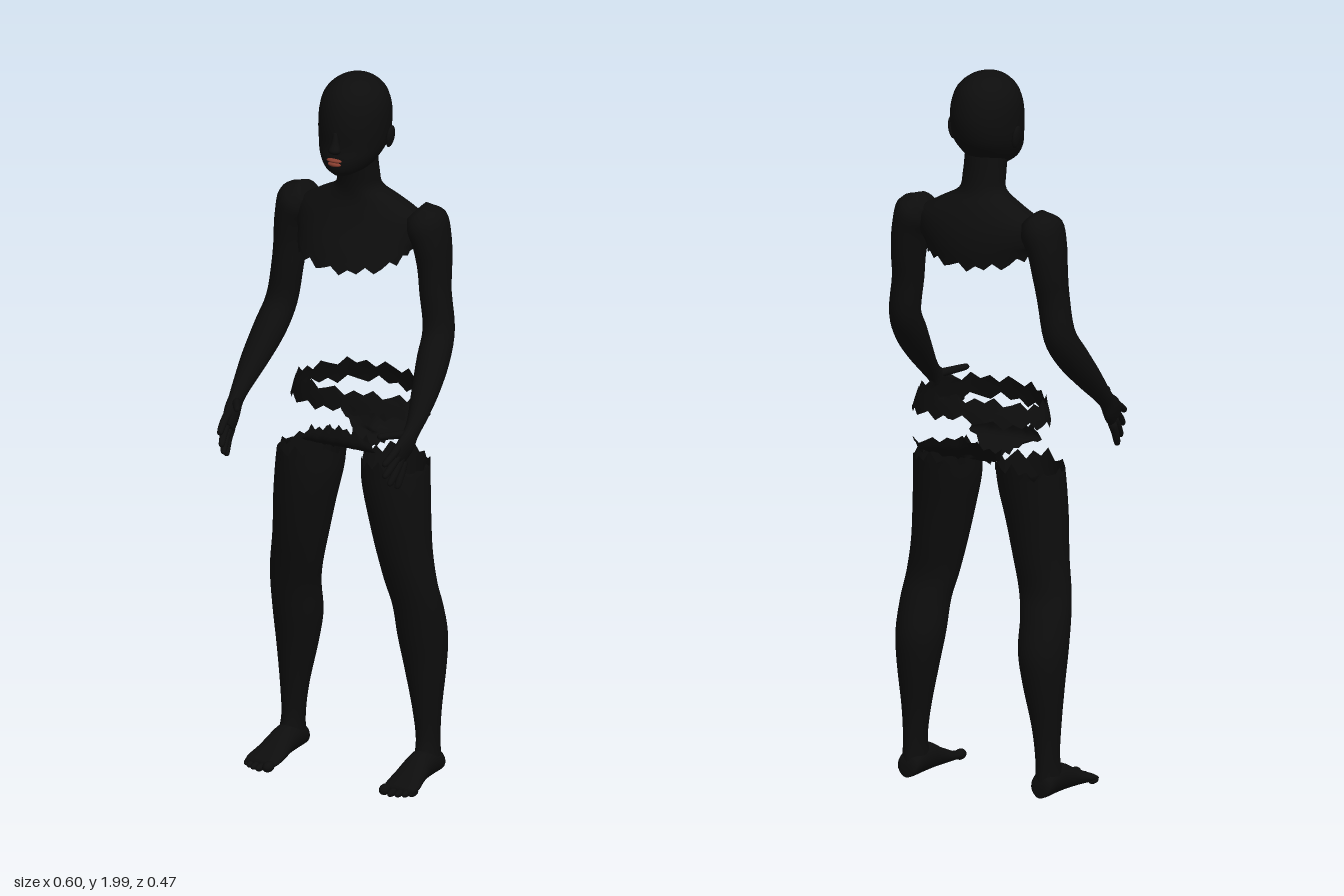
import * as THREE from 'three';

const V = (x, y, z) => new THREE.Vector3(x, y, z);
const skin = new THREE.MeshStandardMaterial({ name: 'dark skin', color: 0x0d0d0d, side: THREE.DoubleSide });
const lipRed = new THREE.MeshStandardMaterial({ name: 'lip red', color: 0x8a3f30, side: THREE.DoubleSide });

function part(name, geometry, material = skin) {
  const mesh = new THREE.Mesh(geometry, material);
  mesh.name = name;
  return mesh;
}

// Smooth skin through elliptical sections [centre, u, v], where u x v points along the loft
function loft(sections, { n = 24, sub = 4, capStart = false, capEnd = false, shape = null } = {}) {
  const [centre, us, vs] = [0, 1, 2].map(k =>
    new THREE.CatmullRomCurve3(sections.map(s => s[k]), false, 'catmullrom', 0.5));
  const rows = (sections.length - 1) * sub, pos = [], index = [];
  for (let i = 0; i <= rows; i++) {
    const t = i / rows, c = centre.getPoint(t), u = us.getPoint(t), v = vs.getPoint(t);
    for (let j = 0; j < n; j++) {
      const a = j / n * Math.PI * 2;
      const p = c.clone().addScaledVector(u, Math.cos(a)).addScaledVector(v, Math.sin(a));
      if (shape) shape(p, i, rows, j, a);
      pos.push(p.x, p.y, p.z);
      if (i < rows) {
        const q = i * n + j, r = i * n + (j + 1) % n;
        index.push(q, r, q + n, r, r + n, q + n);
      }
    }
  }
  const cap = (row, c, flip) => {
    const k = pos.length / 3;
    pos.push(c.x, c.y, c.z);
    for (let j = 0; j < n; j++) {
      const a = row * n + j, b = row * n + (j + 1) % n;
      index.push(k, flip ? b : a, flip ? a : b);
    }
  };
  if (capStart) cap(0, sections[0][0], true);
  if (capEnd) cap(rows, sections.at(-1)[0], false);
  const g = new THREE.BufferGeometry();
  g.setAttribute('position', new THREE.Float32BufferAttribute(pos, 3));
  g.setIndex(index);
  g.computeVertexNormals();
  return g;
}

// Level section from [y, x0, x1, zBack, zFront], listed from top to bottom
const level = ([y, x0, x1, zb, zf]) =>
  [V((x0 + x1) / 2, y, (zb + zf) / 2), V((x1 - x0) / 2, 0, 0), V(0, 0, (zf - zb) / 2)];

// Limb through [x, y, z, radius across x, radius in the bending plane]
function limb(points, options) {
  const p = points.map(q => V(q[0], q[1], q[2]));
  return loft(points.map((q, i) => {
    const d = p[Math.min(i + 1, p.length - 1)].clone().sub(p[Math.max(i - 1, 0)]).normalize();
    const u = V(1, 0, 0).addScaledVector(d, -d.x).normalize();
    return [p[i], u.clone().multiplyScalar(q[3]), d.clone().cross(u).multiplyScalar(q[4] ?? q[3])];
  }), { n: 16, capStart: true, capEnd: true, ...options });
}

function ball(name, x, y, z, rx, ry, rz, material) {
  const mesh = part(name, new THREE.SphereGeometry(1, 16, 12), material);
  mesh.position.set(x, y, z);
  mesh.scale.set(rx, ry, rz);
  return mesh;
}

// Uneven torn edge, repeated by column
const tear = j => [0.012, -0.006, 0.004, -0.014, 0.008, -0.002, -0.01][j % 7];

function makeHead() {
  const g = new THREE.Group();
  g.name = 'head';
  g.add(part('skull', loft([
    [2.0, 0.008, -0.08, -0.06], [1.988, 0.045, -0.125, -0.018], [1.96, 0.077, -0.16, 0.015],
    [1.92, 0.093, -0.178, 0.034], [1.87, 0.096, -0.184, 0.043], [1.82, 0.092, -0.172, 0.043],
    [1.785, 0.08, -0.145, 0.05], [1.755, 0.058, -0.115, 0.047], [1.737, 0.03, -0.08, 0.03],
  ].map(([y, r, b, f]) => level([y, -r, r, b, f])), { n: 32, capStart: true, capEnd: true })));
  // Nose widens from bridge to tip
  g.add(part('nose', loft([
    [1.865, 0.007, 0.03, 0.044], [1.835, 0.011, 0.03, 0.055], [1.815, 0.018, 0.03, 0.065], [1.805, 0.012, 0.03, 0.053],
  ].map(([y, r, b, f]) => level([y, -r, r, b, f])), { n: 12, capStart: true, capEnd: true })));
  g.add(ball('upperLip', 0, 1.787, 0.048, 0.023, 0.006, 0.01, lipRed));
  g.add(ball('lowerLip', 0, 1.776, 0.047, 0.02, 0.007, 0.01, lipRed));
  for (const s of [-1, 1]) {
    const ear = ball('ear', s * 0.1, 1.832, -0.085, 0.009, 0.032, 0.019);
    ear.rotation.z = -s * 0.15;
    g.add(ear);
  }
  return g;
}

// Neck flowing into an open chest with a ragged hem
function makeChest() {
  return part('neckAndChest', loft([
    [1.78, 0.058, -0.135, -0.01], [1.72, 0.06, -0.14, -0.03], [1.675, 0.068, -0.15, -0.038],
    [1.642, 0.125, -0.172, -0.036], [1.605, 0.185, -0.19, -0.022], [1.565, 0.19, -0.202, -0.002],
    [1.52, 0.178, -0.206, 0.024], [1.472, 0.17, -0.203, 0.047],
  ].map(([y, r, b, f]) => level([y, -r, r, b, f])), {
    n: 42,
    shape(p, i, rows, j, a) {
      // Underarms are cut higher than the front and back
      const w = Math.max(0, (i - rows + 6) / 6);
      p.y += w * (0.045 * Math.cos(a) ** 4 + (Math.sin(a) < 0 ? 0.012 : 0));
      if (i === rows) p.y += tear(j);
    },
  }));
}

function makeArm() {
  const g = new THREE.Group();
  g.name = 'arm';
  g.add(part('armSkin', limb([
    [0.165, 1.618, -0.11, 0.035, 0.045], [0.195, 1.592, -0.112, 0.058, 0.068], [0.213, 1.54, -0.113, 0.05, 0.066],
    [0.222, 1.47, -0.112, 0.045, 0.057], [0.228, 1.4, -0.105, 0.043, 0.049], [0.242, 1.3, -0.098, 0.043, 0.047],
    [0.252, 1.23, -0.05, 0.045, 0.045], [0.263, 1.16, 0.015, 0.038, 0.036], [0.27, 1.1, 0.075, 0.026, 0.026],
    [0.27, 1.07, 0.108, 0.02, 0.026], [0.268, 1.045, 0.132, 0.018, 0.036], [0.262, 1.02, 0.16, 0.014, 0.036],
    [0.26, 1.01, 0.17, 0.01, 0.026],
  ])));
  // Fingers fan out from the knuckles: [start, end]
  const fingers = [
    [[0.263, 1.048, 0.165], [0.252, 1.012, 0.232]], [[0.264, 1.03, 0.16], [0.25, 0.975, 0.226]],
    [[0.264, 1.012, 0.152], [0.255, 0.947, 0.206]], [[0.266, 0.998, 0.142], [0.262, 0.93, 0.176]],
    [[0.262, 1.07, 0.122], [0.217, 1.078, 0.198]],
  ];
  fingers.forEach(([a, b], k) => {
    const at = t => a.map((v, i) => v + (b[i] - v) * t + (i === 0 && k < 4 ? 0.012 * t * (1 - t) : 0));
    g.add(part(k === 4 ? 'thumb' : 'finger', limb(
      [[0, 0.012], [0.4, 0.0105], [0.8, 0.0095], [0.96, 0.007], [1, 0.003]].map(([t, r]) => [...at(t), r]),
      { n: 10, sub: 2 })));
  });
  return g;
}

function makeLeg() {
  const g = new THREE.Group();
  g.name = 'leg';
  g.add(part('legSkin', loft([
    [0.92, 0.035, 0.222, -0.16, 0.035], [0.85, 0.04, 0.227, -0.15, 0.038], [0.76, 0.06, 0.232, -0.138, 0.033],
    [0.66, 0.082, 0.237, -0.13, 0.02], [0.57, 0.102, 0.25, -0.125, 0.002], [0.5, 0.118, 0.258, -0.145, -0.012],
    [0.41, 0.124, 0.26, -0.17, -0.027], [0.32, 0.14, 0.254, -0.165, -0.043], [0.2, 0.165, 0.243, -0.146, -0.057],
    [0.11, 0.177, 0.238, -0.142, -0.06], [0.05, 0.175, 0.243, -0.145, -0.04],
  ].map(level), {
    n: 28,
    shape(p, i, rows, j, a) {
      // Ragged top edge, lower on the outer front
      if (i === 0) p.y += 1.4 * tear(j) - 0.02 * Math.max(0, Math.cos(a));
    },
  })));
  // Foot runs from heel to ball: [z, x0, x1, top]
  g.add(part('foot', loft([
    [-0.147, 0.19, 0.228, 0.045], [-0.135, 0.176, 0.242, 0.072], [-0.09, 0.172, 0.245, 0.09],
    [-0.04, 0.17, 0.248, 0.085], [0.01, 0.165, 0.256, 0.06], [0.05, 0.163, 0.264, 0.043], [0.082, 0.168, 0.26, 0.03],
  ].map(([z, x0, x1, top]) => [V((x0 + x1) / 2, (top + 0.008) / 2, z), V((x1 - x0) / 2, 0, 0), V(0, (top - 0.008) / 2, 0)]),
  { capStart: true, capEnd: true })));
  [[0.18, 0.09, 0.015], [0.203, 0.092, 0.01], [0.222, 0.086, 0.0095], [0.239, 0.077, 0.009], [0.254, 0.065, 0.0085]]
    .forEach(([x, z, r]) => g.add(ball('toe', x, r + 0.006, z, r, r, 0.022)));
  return g;
}

// Ragged band of skin around the hips
function makeHipBand() {
  return part('hipBand', loft([
    [1.118, -0.19, 0.19, -0.212, 0.018], [1.09, -0.198, 0.198, -0.222, 0.024], [1.062, -0.205, 0.205, -0.23, 0.028],
  ].map(level), {
    n: 42, sub: 2,
    shape(p, i, rows, j, a) {
      p.y -= 0.018 * Math.cos(a) ** 2;
      if (i === 0 || i === rows) p.y += tear(j + i);
    },
  }));
}

// Saddle of skin between the legs, flaring towards the front and back
function makeCrotch() {
  const curve = new THREE.CatmullRomCurve3([
    V(0.085, 1.008, 0.022), V(0.115, 0.965, 0.026), V(0.06, 0.94, -0.015), V(0.045, 0.925, -0.09),
    V(0.06, 0.935, -0.165), V(0.12, 0.965, -0.215), V(0.14, 1.0, -0.232),
  ]);
  const g = new THREE.PlaneGeometry(1, 1, 14, 28), p = g.attributes.position;
  for (let i = 0; i < p.count; i++) {
    const col = i % 15, s = p.getX(i) * 2, t = 0.5 - p.getY(i), c = curve.getPoint(t);
    const end = Math.abs(t * 2 - 1) ** 4;
    const groove = t > 0.7 ? 0.03 * (1 - Math.abs(s)) ** 2 : 0;
    const edge = (Math.abs(s) === 1 ? tear(Math.floor(t * 28)) : 0) + end * tear(col);
    p.setXYZ(i, c.x * s, c.y - 0.02 * s * s * end + edge * 0.7, c.z + groove);
  }
  g.computeVertexNormals();
  return part('crotch', g);
}

export function createModel() {
  const model = new THREE.Group();
  model.name = 'figure';
  model.add(makeHead(), makeChest(), makeHipBand(), makeCrotch());
  for (const s of [1, -1]) {
    const side = new THREE.Group();
    side.name = s > 0 ? 'leftLimbs' : 'rightLimbs';
    side.add(makeArm(), makeLeg());
    side.scale.x = s;
    model.add(side);
  }
  return model;
}
